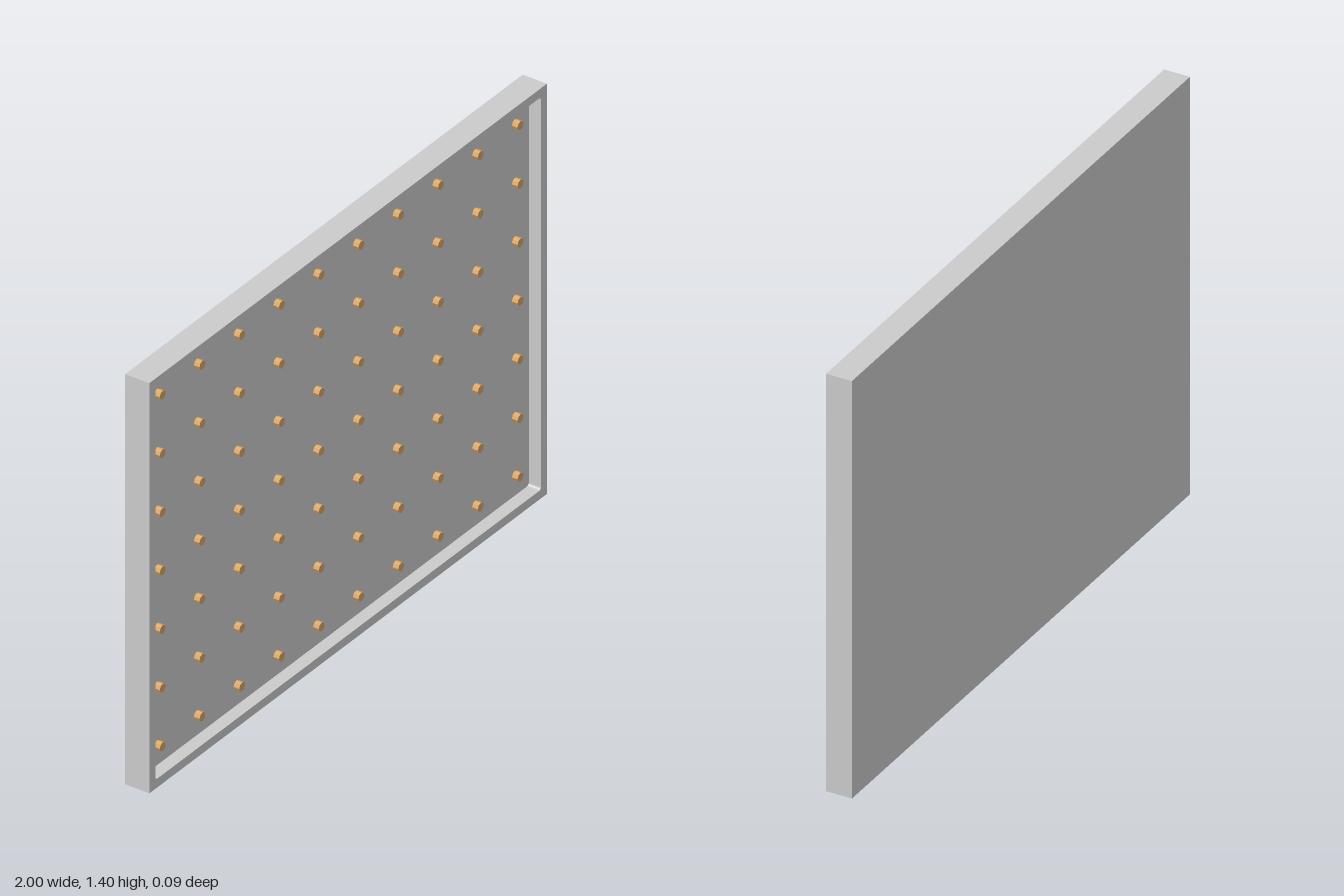
import * as THREE from 'three';

const W = 2, H = 1.4, D = 0.086;      // overall panel size
const RIM = 0.03, RECESS = 0.043;     // rim width and recess depth
const COLS = 10, ROWS = 7, STEP = 0.2;

// Rectangle centred on x = 0, y = H/2 with small corner radius r
function rectangle(target, w, h, r) {
  const x = w / 2, b = (H - h) / 2, t = (H + h) / 2;
  target.moveTo(-x + r, b);
  target.lineTo(x - r, b);
  if (r) target.quadraticCurveTo(x, b, x, b + r);
  target.lineTo(x, t - r);
  if (r) target.quadraticCurveTo(x, t, x - r, t);
  target.lineTo(-x + r, t);
  if (r) target.quadraticCurveTo(-x, t, -x, t - r);
  target.lineTo(-x, b + r);
  if (r) target.quadraticCurveTo(-x, b, -x + r, b);
  return target;
}

export function createModel() {
  const group = new THREE.Group();
  const grey = new THREE.MeshStandardMaterial({ color: 0xcccccc, flatShading: true });
  const tan = new THREE.MeshStandardMaterial({ color: 0xd9a566, flatShading: true });

  // Solid back panel
  const plate = D - RECESS;
  const back = new THREE.Mesh(new THREE.BoxGeometry(W, H, plate), grey);
  back.name = 'backPanel';
  back.position.set(0, H / 2, -D / 2 + plate / 2);
  group.add(back);

  // Raised rim around the recess
  const outline = rectangle(new THREE.Shape(), W, H, 0);
  outline.holes.push(rectangle(new THREE.Path(), W - 2 * RIM, H - 2 * RIM, 0.01));
  const rim = new THREE.Mesh(
    new THREE.ExtrudeGeometry(outline, { depth: RECESS, bevelEnabled: false, curveSegments: 3 }), grey);
  rim.name = 'rim';
  rim.position.z = D / 2 - RECESS;
  group.add(rim);

  // Grid of small pegs on the recessed face
  const pegs = new THREE.Group();
  pegs.name = 'pegs';
  const length = 0.02;
  const pegGeometry = new THREE.CylinderGeometry(0.015, 0.015, length, 8).rotateX(Math.PI / 2);
  for (let row = 0; row < ROWS; row++) {
    for (let col = 0; col < COLS; col++) {
      const peg = new THREE.Mesh(pegGeometry, tan);
      peg.name = 'peg';
      peg.position.set((col - (COLS - 1) / 2) * STEP, 0.1 + row * STEP, D / 2 - RECESS + length / 2);
      pegs.add(peg);
    }
  }
  group.add(pegs);
  return group;
}
